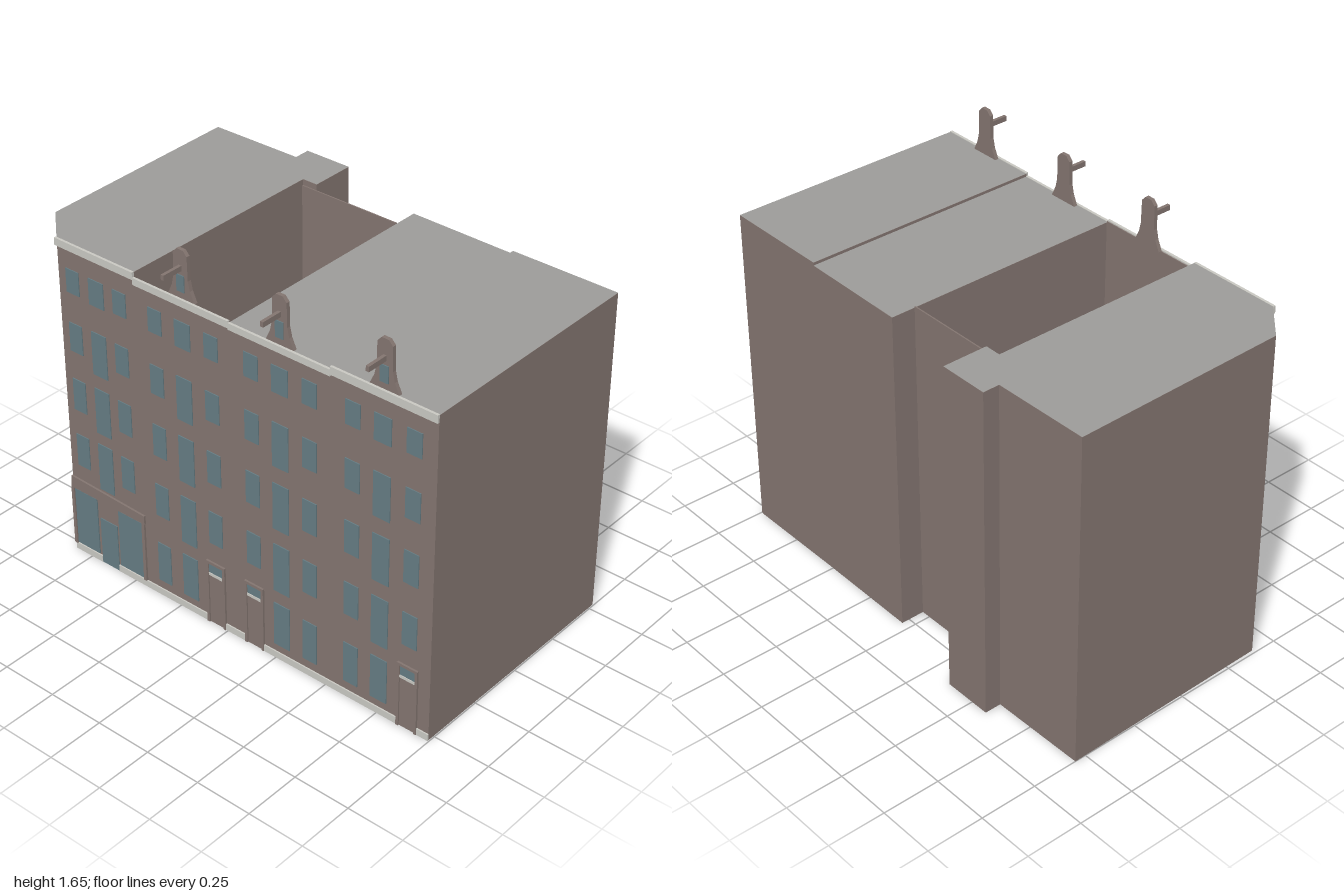
import * as THREE from 'three';

const mat = (name, color) => {
  const m = new THREE.MeshStandardMaterial({ color });
  m.name = name;
  return m;
};

export function createModel() {
  const model = new THREE.Group();
  model.name = 'canalHouses';
  const brick = mat('brick', 0x82746f);
  const roofGrey = mat('roofGrey', 0x9c9b98);
  const trim = mat('paleTrim', 0xc8c7c1);
  const glass = mat('glass', 0x647b82);
  const FRONT = 0.53;

  const add = (name, geometry, material, parent = model) => {
    const mesh = new THREE.Mesh(geometry, material);
    mesh.name = name;
    parent.add(mesh);
    return mesh;
  };
  // Box given by its limits on each axis
  const box = (name, material, x0, x1, y0, y1, z0, z1, parent) => {
    const m = add(name, new THREE.BoxGeometry(x1 - x0, y1 - y0, z1 - z0), material, parent);
    m.position.set((x0 + x1) / 2, (y0 + y1) / 2, (z0 + z1) / 2);
    return m;
  };
  // Flat detail standing slightly off the facade
  const plate = (name, material, x0, x1, y0, y1, depth, parent) =>
    box(name, material, x0, x1, y0, y1, FRONT - 0.002, FRONT + depth, parent);

  // Solid house from an [x, z] footprint, with a separate roof surface
  const house = (name, height, footprint) => {
    const shape = new THREE.Shape(footprint.map(([x, z]) => new THREE.Vector2(x, -z)));
    const walls = add(name + 'Walls', new THREE.ExtrudeGeometry(shape, { depth: height, bevelEnabled: false }), brick);
    walls.rotation.x = -Math.PI / 2;
    const roof = add(name + 'Roof', new THREE.ShapeGeometry(shape), roofGrey);
    roof.rotation.x = -Math.PI / 2;
    roof.position.y = height + 0.001;
  };
  house('cornerHouse', 1.46, [
    [-1, -0.55], [-0.985, 0.395], [-0.84, FRONT], [-0.435, FRONT], [-0.435, -0.43],
    [-0.365, -0.43], [-0.365, -0.627], [-0.58, -0.627], [-0.58, -0.555],
  ]);
  house('thirdHouse', 1.43, [[0.04, FRONT], [0.52, FRONT], [0.52, -0.53], [0.04, -0.535]]);
  house('endHouse', 1.443, [[0.52, FRONT], [0.995, FRONT], [0.995, -0.53], [0.52, -0.53]]);

  // Second house is an open well between its neighbours
  const well = new THREE.Group();
  well.name = 'openHouse';
  model.add(well);
  box('frontWall', brick, -0.435, 0.04, 0, 1.435, FRONT - 0.006, FRONT, well);
  box('backWall', brick, -0.435, 0.04, 0, 1.435, -0.43, -0.424, well);
  box('wellFloor', brick, -0.435, 0.04, 0, 0.005, -0.424, FRONT - 0.006, well);

  // Cornices
  [[-0.845, -0.435, 1.43, 1.462], [-0.435, 0.04, 1.41, 1.44],
    [0.04, 0.52, 1.405, 1.433], [0.52, 0.995, 1.413, 1.447]]
    .forEach(([x0, x1, y0, y1]) => plate('cornice', trim, x0, x1, y0, y1, 0.009));

  // Plinth pieces between the doors
  [[-0.84, -0.69], [-0.595, -0.105], [-0.01, 0.095], [0.19, 0.845], [0.94, 0.995]]
    .forEach(([x0, x1]) => plate('plinth', trim, x0, x1, 0, 0.03, 0.006));

  // Windows: rows are [side bottom, side top, middle bottom, middle top]
  const rows = [
    [1.235, 1.34, 1.225, 1.34],
    [0.96, 1.09, 0.90, 1.095],
    [0.675, 0.82, 0.615, 0.825],
    [0.39, 0.54, 0.325, 0.545],
    [0.07, 0.255, 0.065, 0.265],
  ];
  const facades = [
    { cols: [-0.765, -0.64, -0.518], lift: [0.005, 0.015, 0.027, 0.045], ground: [] },
    { cols: [-0.335, -0.195, -0.053], lift: [0, 0, 0, 0], ground: [0, 1] },
    { cols: [0.142, 0.28, 0.42], lift: [0, 0, 0, 0], ground: [1, 2] },
    { cols: [0.62, 0.755, 0.895], lift: [0, 0, 0, 0], ground: [0, 1] },
  ];
  facades.forEach(({ cols, lift, ground }) => {
    rows.forEach(([s0, s1, m0, m1], r) => cols.forEach((x, c) => {
      if (r === 4 && !ground.includes(c)) return;
      const middle = c === 1;
      const half = middle ? 0.039 : 0.034;
      const dy = lift[r] || 0;
      plate('window', glass, x - half, x + half, (middle ? m0 : s0) + dy, (middle ? m1 : s1) + dy, 0.004);
    }));
  });

  // House doors with a pale transom and a fanlight
  [-0.057, 0.142, 0.893].forEach((x) => {
    const door = new THREE.Group();
    door.name = 'houseDoor';
    model.add(door);
    for (const s of [-1, 1]) {
      plate('doorJamb', brick, x + s * 0.042 - 0.006, x + s * 0.042 + 0.006, 0, 0.3, 0.009, door);
    }
    plate('doorLintel', brick, x - 0.036, x + 0.036, 0.288, 0.3, 0.009, door);
    plate('doorLeaf', brick, x - 0.036, x + 0.036, 0, 0.232, 0.003, door);
    plate('transom', trim, x - 0.036, x + 0.036, 0.232, 0.244, 0.007, door);
    plate('fanlight', glass, x - 0.036, x + 0.036, 0.244, 0.288, 0.004, door);
  });

  // Shopfront
  const shop = new THREE.Group();
  shop.name = 'shopfront';
  model.add(shop);
  const fascia = new THREE.Shape([[-0.845, 0.31], [-0.435, 0.31], [-0.435, 0.35], [-0.84, 0.365]]
    .map(([x, y]) => new THREE.Vector2(x, y)));
  add('fascia', new THREE.ExtrudeGeometry(fascia, { depth: 0.009, bevelEnabled: false }), brick, shop)
    .position.z = FRONT;
  for (const [x0, x1] of [[-0.845, -0.83], [-0.452, -0.437]]) plate('shopJamb', brick, x0, x1, 0.03, 0.31, 0.009, shop);
  plate('shopWindow', glass, -0.828, -0.705, 0.035, 0.305, 0.005, shop);
  plate('shopWindow', glass, -0.585, -0.455, 0.035, 0.305, 0.005, shop);
  plate('shopDoor', glass, -0.69, -0.597, 0, 0.22, 0.004, shop);

  // Flared gables with hoist beams
  const half = [[0.066, 0], [0.045, 0.045], [0.036, 0.085], [0.034, 0.185], [0.016, 0.205]];
  const outline = [...half, ...half.map(([x, y]) => [-x, y]).reverse()];
  const gableShape = new THREE.Shape(outline.map(([x, y]) => new THREE.Vector2(x, y)));
  [[-0.198, 1.437], [0.278, 1.43], [0.753, 1.443]].forEach(([x, y]) => {
    const gable = new THREE.Group();
    gable.name = 'gable';
    gable.position.set(x, y, 0);
    model.add(gable);
    add('gableWall', new THREE.ExtrudeGeometry(gableShape, { depth: 0.016, bevelEnabled: false }), brick, gable)
      .position.z = 0.51;
    box('gableWindow', glass, -0.019, 0.019, 0.03, 0.1, 0.524, 0.53, gable);
    box('hoistBeam', brick, -0.007, 0.007, 0.118, 0.14, 0.52, 0.62, gable);
  });

  return model;
}
